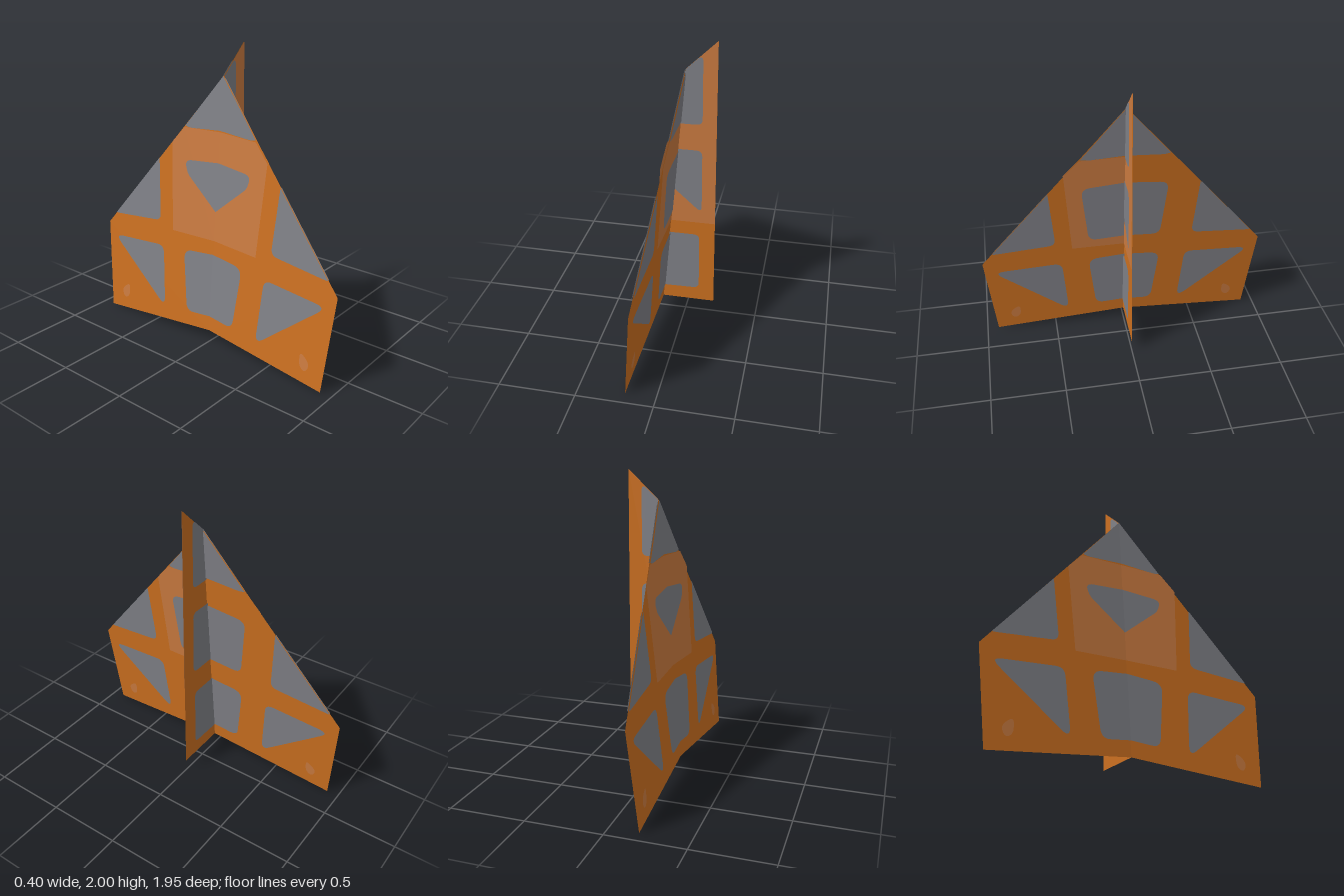
import * as THREE from 'three';

const mat = (name, color) => {
  const m = new THREE.MeshStandardMaterial({ color, side: THREE.DoubleSide });
  m.name = name;
  return m;
};

// Polygon with optional corner radius: points are [a, b, r]
function roundedShape(pts) {
  const s = new THREE.Shape();
  pts.forEach(([a, b, r = 0], i) => {
    const p = new THREE.Vector2(a, b);
    const toward = ([x, y]) => {
      const d = new THREE.Vector2(x, y).sub(p);
      return d.setLength(Math.min(r, d.length() / 2)).add(p);
    };
    const start = toward(pts[(i + pts.length - 1) % pts.length]);
    const end = toward(pts[(i + 1) % pts.length]);
    if (i === 0) s.moveTo(start.x, start.y); else s.lineTo(start.x, start.y);
    if (r > 0) s.quadraticCurveTo(a, b, end.x, end.y);
  });
  s.closePath();
  return s;
}

// Flat sheet whose (a, b) outline is placed in space by a rule
function sheet(name, pts, material, place) {
  const g = new THREE.ShapeGeometry(roundedShape(pts), 6);
  const p = g.attributes.position;
  for (let i = 0; i < p.count; i++) p.setXYZ(i, ...place(p.getX(i), p.getY(i)));
  g.computeVertexNormals();
  const mesh = new THREE.Mesh(g, material);
  mesh.name = name;
  return mesh;
}

export function createModel() {
  const orange = mat('orange paper', 0xcc7020);
  const grey = mat('grey panel', 0x808187);
  const pale = mat('pale orange paper', 0xcb7b40);
  const model = new THREE.Group();
  model.name = 'paperGlider';

  // Wing outlines as [distance from fold, height]
  const wing = [[0, 1.81], [0.975, 0.64], [0.92, 0.005], [0, 0.09]];
  const flap = [[0, 1.455], [0.297, 1.445], [0.4, 1.33], [0.36, 0.72], [0, 0.73]];
  const nosePanel = [[0, 1.81], [0.29, 1.455], [0.25, 1.447, 0.03], [0, 1.465]];
  const middlePanel = [[0, 1.255], [0.29, 1.225, 0.06], [0.245, 0.785, 0.06], [0, 0.805]];
  const cutPanel = [[0, 1.255], [0.28, 1.23, 0.06], [0.25, 1.14, 0.03], [0, 0.93]];
  const outerPanels = [
    [[0, 0.635], [0.25, 0.61, 0.07], [0.2, 0.175, 0.06], [0, 0.195]],
    [[0.505, 1.203], [0.472, 0.765, 0.05], [0.895, 0.725, 0.05], [0.9, 0.73]],
    [[0.435, 0.592, 0.06], [0.91, 0.558, 0.08], [0.4, 0.14, 0.08]],
  ];
  const spot = [[0.75, 0.22, 0.04], [0.83, 0.16, 0.05], [0.8, 0.09, 0.05], [0.75, 0.12, 0.04]];

  for (const side of [1, -1]) {
    const half = new THREE.Group();
    half.name = side > 0 ? 'frontWing' : 'backWing';
    const lean = side > 0 ? 0.034 : 0.024;
    const onWing = (off, extra = 0) => (u, y) =>
      [0.093 * (y - 1.81) - (lean + extra) * u + off, y, side * u];
    half.add(sheet('wingSheet', wing, orange, onWing(0)));

    // Grey panels on both faces of the wing
    for (const face of [1, -1]) {
      for (const p of [nosePanel, ...outerPanels])
        half.add(sheet('wingPanel', p, grey, onWing(face * 0.006)));
      half.add(sheet('wingSpot', spot, pale, onWing(face * 0.003)));
    }
    half.add(sheet('middlePanel', middlePanel, grey, onWing(0.006)));
    if (side > 0) half.add(sheet('innerFold', flap, pale, onWing(0.003)));

    // Folded flap behind the wing, slightly lifted on one side
    const lift = side > 0 ? 0.03 : 0;
    half.add(sheet('rearFlap', flap, pale, onWing(-0.003, lift)));
    half.add(sheet('rearFlapPanel', cutPanel, grey, onWing(-0.006, lift)));
    model.add(half);
  }

  // Keel fin along the fold
  const fold = y => 0.093 * (y - 1.81);
  const onFin = z => (x, y) => [x, y, z];
  const fin = new THREE.Group();
  fin.name = 'fin';
  fin.add(sheet('finSheet', [[0, 1.81], [0.2, 2], [0.2, 0.09], [fold(0.09), 0.09]], orange, onFin(0)));
  fin.add(sheet('finFold', [[0, 1.81], [0.2, 2], [0.2, 0.73], [fold(0.73), 0.73]], pale, onFin(0.004)));

  // Grey panels on both faces of the fin
  for (const face of [1, -1]) {
    const z = face * 0.007;
    const low = face > 0 ? 0.98 : 0.81;
    const panels = [
      [[0, 1.81], [0.11, 1.914, 0.05], [0.11, 1.45, 0.04], [fold(1.45), 1.45]],
      [[fold(1.27), 1.27], [0.11, 1.27, 0.04], [0.11, 0.81, 0.05], [fold(low), low]],
      [[fold(0.635), 0.635], [0.095, 0.635, 0.04], [0.095, 0.195, 0.04], [fold(0.19), 0.19]],
    ];
    for (const p of panels) fin.add(sheet('finPanel', p, grey, onFin(z)));
  }
  model.add(fin);
  return model;
}
